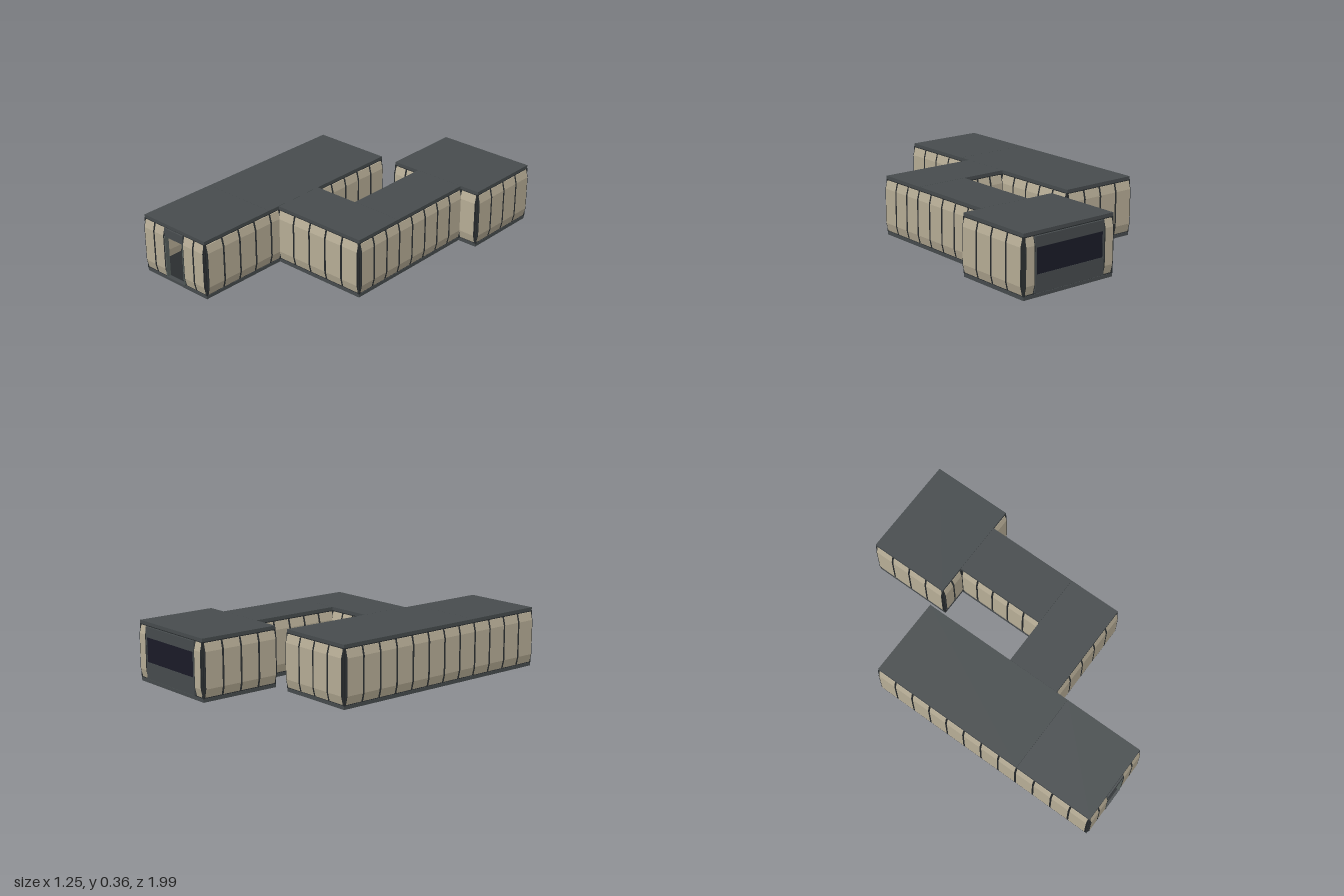
import * as THREE from 'three';

const mat = (name, color) => {
  const m = new THREE.MeshStandardMaterial({ color });
  m.name = name;
  return m;
};

export function createModel() {
  const slabGrey = mat('slab grey', 0x474c4e);
  const tan = mat('panel tan', 0xb8ae97);
  const dark = mat('frame charcoal', 0x2a2e30);
  const steel = mat('door steel', 0x59625f);
  const glass = mat('window navy', 0x1a1b28);

  const model = new THREE.Group();
  model.name = 'modularBuilding';

  const box = (parent, name, material, w, h, d, x, y, z) => {
    const m = new THREE.Mesh(new THREE.BoxGeometry(w, h, d), material);
    m.name = name;
    m.position.set(x, y, z);
    parent.add(m);
    return m;
  };

  // Modules: x range, z range
  const rooms = {
    entrance: [-0.612, -0.122, 0.485, 0.982],
    hall: [-0.612, -0.122, -0.495, 0.485],
    link: [-0.122, 0.488, 0.08, 0.408],
    corridor: [0.165, 0.488, -0.49, 0.08],
    rearRoom: [-0.01, 0.612, -0.987, -0.49],
  };
  const seam = 0.001;
  for (const [name, [x0, x1, z0, z1]] of Object.entries(rooms)) {
    const w = x1 - x0, d = z1 - z0, x = (x0 + x1) / 2, z = (z0 + z1) / 2;
    for (const [part, y, trimY] of [['Floor', 0.01, 0.0235], ['Roof', 0.349, 0.3355]]) {
      box(model, name + part, slabGrey, w - seam, 0.02, d - seam, x, y, z);
      box(model, name + part + 'Trim', dark, w - 0.006, 0.007, d - 0.006, x, trimY, z);
    }
  }

  // Wall panel section: chamfered at top and bottom, on both faces
  const section = new THREE.Shape([
    [0.002, 0.026], [0.014, 0.075], [0.014, 0.285], [0.002, 0.333],
    [-0.006, 0.333], [-0.014, 0.285], [-0.014, 0.075], [-0.006, 0.026],
  ].map(([x, y]) => new THREE.Vector2(x, y)));

  const slice = (parent, name, material, from, to) => {
    const g = new THREE.ExtrudeGeometry(section, { depth: to - from, bevelEnabled: false });
    g.rotateY(-Math.PI / 2).translate(to, 0, 0);
    const m = new THREE.Mesh(g, material);
    m.name = name;
    parent.add(m);
  };

  // One panel with a dark edge rib on each side
  const panel = (parent, from, to) => {
    const gap = 0.002, rib = 0.004;
    slice(parent, 'panelRib', dark, from + gap, from + gap + rib);
    slice(parent, 'wallPanel', tan, from + gap + rib, to - gap - rib);
    slice(parent, 'panelRib', dark, to - gap - rib, to - gap);
  };

  // Wall group: local x runs along the wall, local z points outwards
  const turns = { front: 0, left: Math.PI / 2, back: Math.PI, right: -Math.PI / 2 };
  const wallGroup = (name, facing, x, z) => {
    const g = new THREE.Group();
    g.name = name;
    g.position.set(x, 0, z);
    g.rotation.y = turns[facing];
    model.add(g);
    return g;
  };

  // Even run of panels between a and b along the wall, at position p across it
  const wall = (name, facing, p, a, b, count) => {
    const mid = (a + b) / 2, len = b - a;
    const alongX = facing === 'front' || facing === 'back';
    const g = wallGroup(name, facing, alongX ? mid : p, alongX ? p : mid);
    for (let i = 0; i < count; i++) {
      panel(g, -len / 2 + (len * i) / count, -len / 2 + (len * (i + 1)) / count);
    }
  };

  wall('entranceRightWall', 'right', -0.612, 0.485, 0.977, 4);
  wall('entranceLeftWall', 'left', -0.122, 0.485, 0.977, 4);
  wall('hallRightWall', 'right', -0.612, -0.49, 0.485, 8);
  wall('hallBackWall', 'back', -0.495, -0.609, -0.125, 4);
  wall('hallLeftWall', 'left', -0.122, -0.49, 0.08, 5);
  wall('hallLeftInfill', 'left', -0.122, 0.408, 0.485, 1);
  wall('linkFrontWall', 'front', 0.405, -0.118, 0.485, 5);
  wall('linkBackWall', 'back', 0.08, -0.112, 0.162, 3);
  wall('linkEndWall', 'left', 0.487, 0.08, 0.405, 3);
  wall('corridorLeftWall', 'left', 0.487, -0.488, 0.08, 5);
  wall('corridorRightWall', 'right', 0.168, -0.478, 0.08, 5);
  wall('rearRoomLeftWall', 'left', 0.61, -0.982, -0.492, 4);
  wall('rearRoomRightWall', 'right', -0.008, -0.982, -0.492, 4);
  wall('rearRoomFrontWall', 'front', -0.492, -0.007, 0.16, 2);
  wall('rearRoomFrontInfill', 'front', -0.492, 0.492, 0.608, 1);

  // Entrance wall: two panels on each side of the doorway
  const entry = wallGroup('entranceFrontWall', 'front', -0.367, 0.979);
  for (const [a, b] of [[-0.243, -0.16], [-0.16, -0.076], [0.076, 0.16], [0.16, 0.243]]) panel(entry, a, b);
  box(entry, 'doorLintel', slabGrey, 0.148, 0.052, 0.022, 0, 0.309, 0);
  box(entry, 'doorThreshold', slabGrey, 0.148, 0.006, 0.026, 0, 0.024, 0);
  for (const s of [-1, 1]) box(entry, 'doorJamb', steel, 0.006, 0.26, 0.026, s * 0.072, 0.155, 0);

  // Rear wall: large window in a dark surround, narrow panel at each end
  const rear = wallGroup('rearRoomBackWall', 'back', 0.301, -0.983);
  panel(rear, -0.307, -0.24);
  panel(rear, 0.24, 0.307);
  box(rear, 'windowSill', slabGrey, 0.478, 0.101, 0.026, 0, 0.0765, 0);
  box(rear, 'windowHead', slabGrey, 0.478, 0.061, 0.026, 0, 0.3025, 0);
  for (const s of [-1, 1]) box(rear, 'windowJamb', slabGrey, 0.01, 0.145, 0.026, s * 0.234, 0.1995, 0);
  box(rear, 'windowGlass', glass, 0.458, 0.145, 0.009, 0, 0.1995, 0.007);

  // Corner posts
  const corners = [
    [-0.607, 0.977], [-0.127, 0.977], [-0.607, -0.49], [-0.127, -0.49], [-0.122, 0.408],
    [-0.122, 0.08], [0.483, 0.403], [0.165, 0.08], [0.165, -0.49], [0.488, -0.49],
    [-0.005, -0.495], [0.607, -0.495], [-0.005, -0.982], [0.607, -0.982],
  ];
  for (const [x, z] of corners) box(model, 'cornerPost', dark, 0.012, 0.32, 0.012, x, 0.18, z);

  return model;
}
